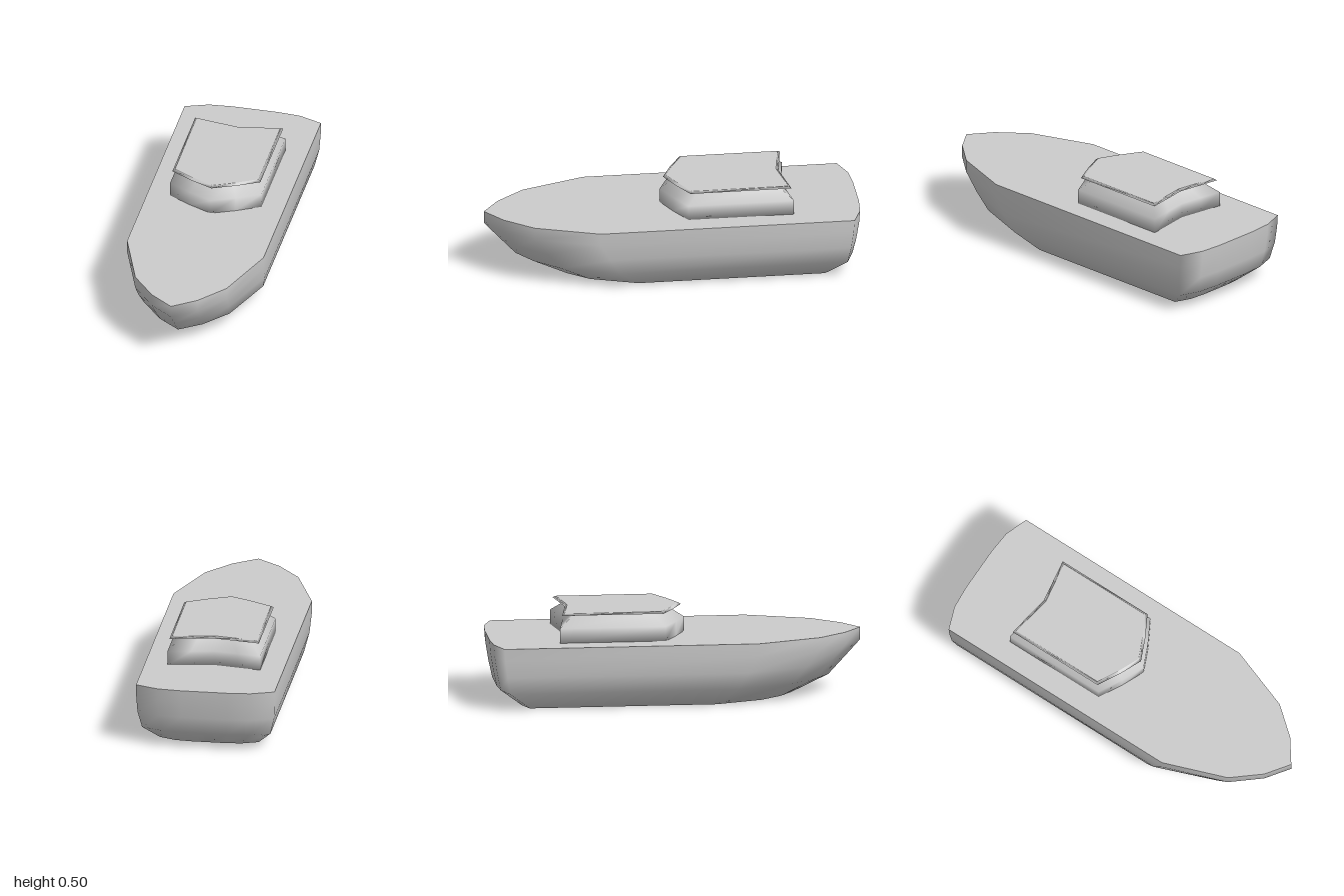
import * as THREE from 'three';

const material = new THREE.MeshStandardMaterial({ color: 0xcccccc, side: THREE.DoubleSide });

// Mirrors a half outline (x, z), running bow to stern, into a closed loop
// scaled so that x lies in -1..1 and z in 0 (stern) .. 1 (bow).
function closedOutline(half) {
  const maxX = Math.max(...half.map(p => p[0]));
  const zs = half.map(p => p[1]);
  const front = Math.max(...zs), back = Math.min(...zs);
  const unit = half.map(([x, z]) => [x / maxX, (z - back) / (front - back)]);
  const mirrored = unit.slice(1, -1).reverse().map(([x, z]) => [-x, z]);
  return [...unit, ...mirrored];
}

// Outline placed at one level: [y, half width, front z, back z]
const ring = (outline, [y, w, front, back]) =>
  outline.map(([x, z]) => [x * w, y, back + z * (front - back)]);

const capFaces = outline =>
  THREE.ShapeUtils.triangulateShape(outline.map(([x, z]) => new THREE.Vector2(x, -z)), []);

function makeMesh(name, points, index) {
  const geometry = new THREE.BufferGeometry();
  geometry.setAttribute('position', new THREE.Float32BufferAttribute(points.flat(), 3));
  geometry.setIndex(index);
  geometry.computeVertexNormals();
  const mesh = new THREE.Mesh(geometry, material);
  mesh.name = name;
  return mesh;
}

// Smooth skin through all levels, from bottom to top, with a closed underside
function skin(name, outline, levels) {
  const n = outline.length;
  const points = levels.flatMap(level => ring(outline, level));
  const index = capFaces(outline).flatMap(([a, b, c]) => [a, c, b]);
  for (let k = 0; k < levels.length - 1; k++) {
    for (let i = 0; i < n; i++) {
      const j = (i + 1) % n;
      const a = k * n + i, b = k * n + j;
      index.push(a, b, b + n, a, b + n, a + n);
    }
  }
  return makeMesh(name, points, index);
}

// Flat face with its own normals, so its rim stays sharp
const cap = (name, outline, level) =>
  makeMesh(name, ring(outline, level), capFaces(outline).flat());

export function createModel() {
  const boat = new THREE.Group();
  boat.name = 'boat';

  const hullOutline = closedOutline([
    [0, 1], [0.125, 0.91], [0.25, 0.76], [0.373, 0.42],
    [0.373, -0.945], [0.25, -0.99], [0.125, -1], [0, -1],
  ]);
  const hullLevels = [
    [0, 0.266, 0.63, -0.84],
    [0.095, 0.346, 0.83, -0.96],
    [0.187, 0.368, 0.915, -0.98],
    [0.28, 0.373, 1, -0.995],
    [0.347, 0.373, 1, -1],
  ];
  boat.add(skin('hull', hullOutline, hullLevels));
  boat.add(cap('deck', hullOutline, hullLevels.at(-1)));

  // Cabin with pointed front and shallow notch at the back
  const cabinOutline = closedOutline([
    [0, 0.055], [0.125, 0], [0.25, -0.068], [0.25, -0.635], [0.125, -0.615], [0, -0.595],
  ]);
  const cabinLevels = [
    [0.347, 0.25, 0.055, -0.635],
    [0.426, 0.25, 0.055, -0.635],
    [0.485, 0.186, -0.035, -0.56],
    [0.495, 0.186, -0.035, -0.56],
  ];
  boat.add(skin('cabin', cabinOutline, cabinLevels));

  // Thin overhanging roof with a bevelled rim
  const roofLevels = [
    [0.494, 0.241, 0.038, -0.623],
    [0.504, 0.228, 0.022, -0.607],
  ];
  const roof = new THREE.Group();
  roof.name = 'roof';
  roof.add(cap('roofUnderside', cabinOutline, roofLevels[0]));
  roof.add(skin('roofRim', cabinOutline, roofLevels));
  roof.add(cap('roofTop', cabinOutline, roofLevels[1]));
  roof.children.shift();
  boat.add(roof);

  return boat;
}
